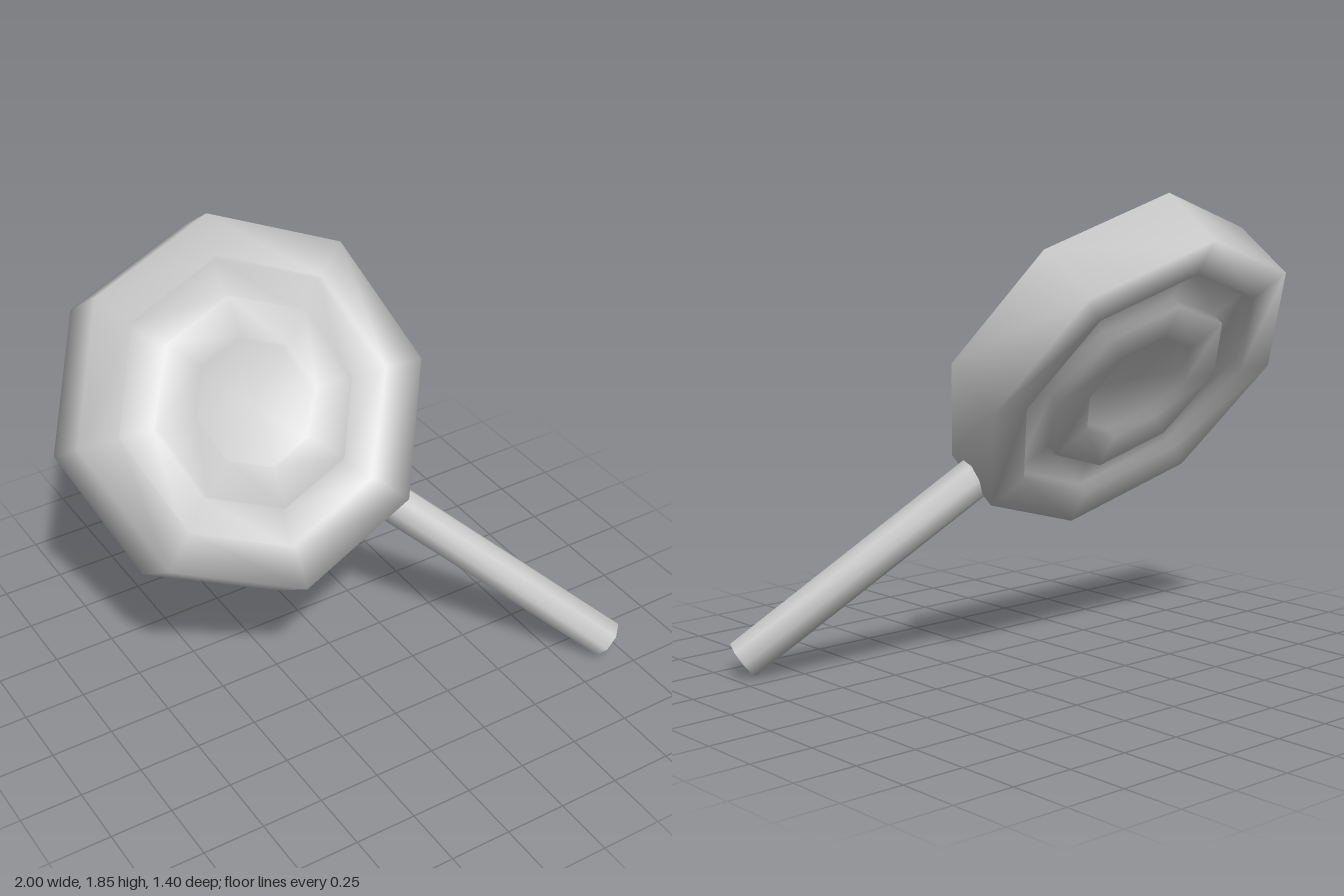
import * as THREE from 'three';
import { mergeVertices } from 'three/addons/utils/BufferGeometryUtils.js';

const material = new THREE.MeshStandardMaterial({ color: 0xcccccc });

// Weld a geometry so its normals blend smoothly across every edge
function smooth(geometry) {
  geometry.deleteAttribute('normal');
  geometry.deleteAttribute('uv');
  const welded = mergeVertices(geometry, 1e-4);
  welded.computeVertexNormals();
  return welded;
}

function addPart(group, name, geometry) {
  const mesh = new THREE.Mesh(smooth(geometry), material);
  mesh.name = name;
  group.add(mesh);
  return mesh;
}

export function createModel() {
  const model = new THREE.Group();
  model.name = 'discOnStick';

  // Tilted frame: local y is the disc axis, local z runs along the stick
  const tilted = new THREE.Group();
  tilted.name = 'tiltedBody';
  tilted.position.set(-0.28, 1.174, -0.167);
  tilted.rotation.set(0.949, 0.728, 0);
  model.add(tilted);

  // Eight-sided disc with a sunken centre and a ring groove on both faces
  const half = 0.142, floor = half - 0.05;
  const face = [
    [0.721, half], [0.561, half], [0.561, floor], [0.408, floor],
    [0.408, half], [0.253, half], [0.253, floor], [0, floor],
  ];
  const back = face.map(([r, y]) => [r, -y]).reverse();
  const profile = [...back, ...face].map(([r, y]) => new THREE.Vector2(r, y));
  addPart(tilted, 'groovedDisc', new THREE.LatheGeometry(profile, 8));

  // Stick leaving the disc through one of its corners
  const start = 0.6, end = 1.834;
  const stick = new THREE.CylinderGeometry(0.082, 0.082, end - start, 8);
  stick.rotateX(Math.PI / 2);
  stick.translate(0, 0, (start + end) / 2);
  addPart(tilted, 'stick', stick);

  return model;
}
